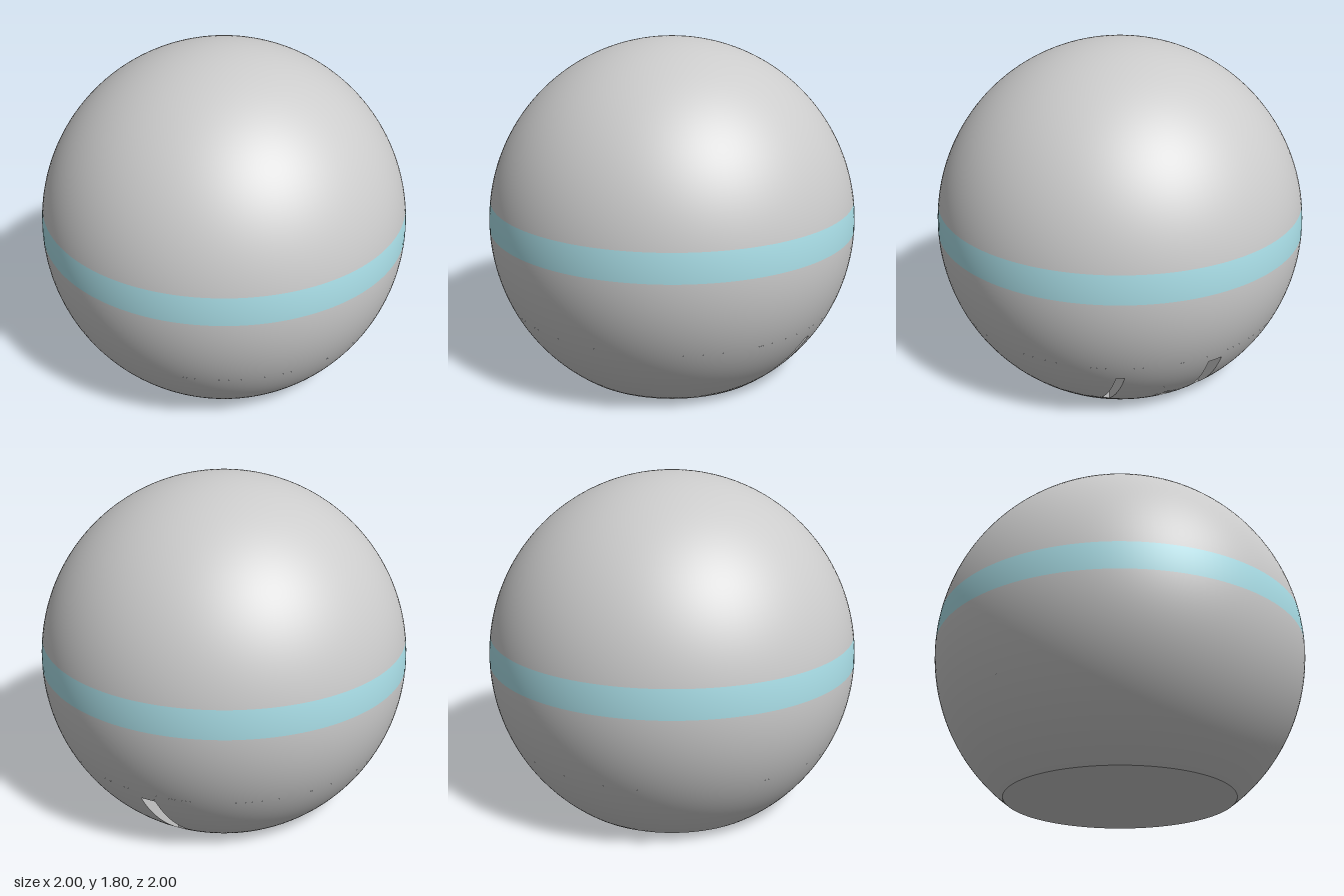
import * as THREE from 'three';
import { ParametricGeometry } from 'three/addons/geometries/ParametricGeometry.js';

// Unit ball, worked out around its own centre and lifted by LIFT so the flat base sits on y = 0
const LIFT = 0.8;
const BACK = -0.6; // plane where the rear panel starts
const PANEL_TOP = -0.4;
const surfaceZ = (x, y) => -Math.sqrt(Math.max(0, 1 - x * x - y * y));
const panelBottom = (x) => Math.max(-0.8, -Math.sqrt(Math.max(0, 0.64 - x * x)));
const lerp = THREE.MathUtils.lerp;

const grey = new THREE.MeshStandardMaterial({ color: 0xcccccc });
const inner = new THREE.MeshStandardMaterial({ color: 0xcccccc, side: THREE.DoubleSide });
const blue = new THREE.MeshStandardMaterial({ color: 0xaadfe8 });

// Exact sphere normals, so separate patches shade as one ball
function ballNormals(geometry) {
  const p = geometry.attributes.position;
  const v = new THREE.Vector3();
  for (let i = 0; i < p.count; i++) {
    v.fromBufferAttribute(p, i).normalize();
    geometry.attributes.normal.setXYZ(i, v.x, v.y, v.z);
  }
  return geometry;
}

export function createModel() {
  const model = new THREE.Group();
  const ball = new THREE.Group();
  ball.name = 'ball';
  ball.position.y = LIFT;
  model.add(ball);

  const add = (name, geometry, material, parent = ball) => {
    const mesh = new THREE.Mesh(geometry, material);
    mesh.name = name;
    parent.add(mesh);
    return mesh;
  };
  const surface = (fn, nu, nv) =>
    new ParametricGeometry((u, v, t) => t.set(...fn(u, v)), nu, nv);

  // Full rings of the ball between two heights
  const zone = (y0, y1, rows) => {
    const start = Math.acos(y1);
    return new THREE.SphereGeometry(1, 128, rows, 0, Math.PI * 2, start, Math.acos(y0) - start);
  };
  add('upperShell', zone(0.15, 1, 40), grey);
  add('colourBand', zone(0, 0.15, 6), blue);
  add('lowerShell', zone(PANEL_TOP, 0, 14), grey);

  // Lowest zone, left open where the rear panel sits
  add('bottomShell', ballNormals(surface((u, v) => {
    const y = lerp(-0.8, PANEL_TOP, v);
    const r = Math.sqrt(1 - y * y);
    const gap = Math.acos(Math.min(1, -BACK / r));
    const a = lerp(Math.PI + gap, 3 * Math.PI - gap, u);
    return [r * Math.sin(a), y, r * Math.cos(a)];
  }, 128, 24)), grey);

  const base = add('base', new THREE.CircleGeometry(0.6, 128), grey);
  base.rotation.x = Math.PI / 2;
  base.position.y = -0.8;

  // Rear panel, in upright strips around the slots and the round hole
  const panel = new THREE.Group();
  panel.name = 'rearPanel';
  ball.add(panel);
  const edge = Math.sqrt(0.48);
  const strip = (x0, x1, low = panelBottom, n = 8) =>
    add('panelStrip', ballNormals(surface((u, v) => {
      const x = lerp(x1, x0, u);
      const y = lerp(low(x), PANEL_TOP, v);
      return [x, y, surfaceZ(x, y)];
    }, n, 20)), grey, panel);

  const slots = [
    { name: 'wideSlot', x0: -0.23, x1: -0.15, top: -0.45 },
    { name: 'narrowSlot', x0: 0.28, x1: 0.32, top: -0.48 },
  ];
  strip(-edge, -0.23, panelBottom, 40);
  strip(-0.15, -0.05);
  strip(-0.05, 0.05, () => -0.7);
  strip(0.05, 0.28, panelBottom, 16);
  strip(0.32, edge, panelBottom, 36);

  // Slots: two side walls, a flat top and a floor on the back plane
  for (const { name, x0, x1, top } of slots) {
    strip(x0, x1, () => top);
    const slot = new THREE.Group();
    slot.name = name;
    panel.add(slot);
    for (const x of [x0, x1]) {
      add('slotWall', surface((u, v) => {
        const y = lerp(panelBottom(x), top, u);
        return [x, y, lerp(BACK, surfaceZ(x, y), v)];
      }, 20, 1), inner, slot);
    }
    add('slotTop', surface((u, v) => {
      const x = lerp(x0, x1, u);
      return [x, top, lerp(BACK, surfaceZ(x, top), v)];
    }, 4, 1), inner, slot);
    add('slotFloor', surface((u, v) => {
      const x = lerp(x1, x0, u);
      return [x, lerp(panelBottom(x), top, v), BACK];
    }, 4, 1), inner, slot);
  }

  // Small patch around the round hole
  const holeY = -0.755;
  const holeR = 0.03;
  const outline = [];
  for (let i = 0; i <= 8; i++) {
    const x = lerp(-0.05, 0.05, i / 8);
    outline.push(new THREE.Vector2(x, panelBottom(x)));
  }
  outline.push(new THREE.Vector2(0.05, -0.7), new THREE.Vector2(-0.05, -0.7));
  const shape = new THREE.Shape(outline);
  shape.holes.push(new THREE.Path().absarc(0, holeY, holeR, 0, Math.PI * 2, true));
  const patch = new THREE.ShapeGeometry(shape, 24).rotateY(Math.PI);
  const p = patch.attributes.position;
  for (let i = 0; i < p.count; i++) p.setZ(i, surfaceZ(p.getX(i), p.getY(i)));
  add('holeSurround', ballNormals(patch), grey, panel);

  // Hole wall and floor
  add('holeWall', surface((u, v) => {
    const x = holeR * Math.cos(u * Math.PI * 2);
    const y = holeY + holeR * Math.sin(u * Math.PI * 2);
    return [x, y, lerp(BACK, surfaceZ(x, y), v)];
  }, 32, 1), inner, panel);
  const floor = add('holeFloor', new THREE.CircleGeometry(holeR, 32), inner, panel);
  floor.rotation.y = Math.PI;
  floor.position.set(0, holeY, BACK);

  return model;
}
